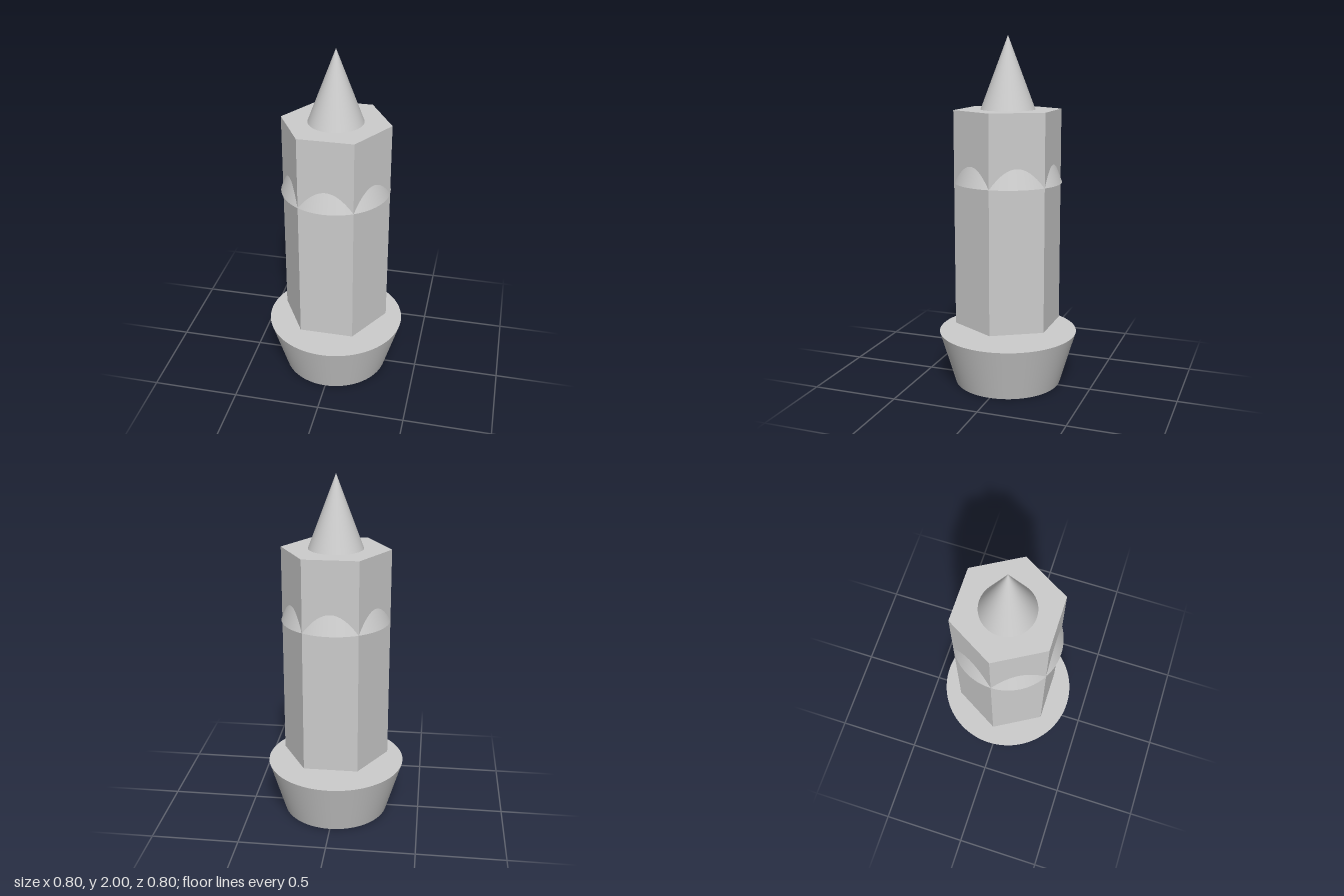
import * as THREE from 'three';

const R = 0.307; // shared radius of shaft, collar and base underside

export function createModel() {
  const model = new THREE.Group();
  const smooth = new THREE.MeshStandardMaterial({ color: 0xcccccc });
  const faceted = new THREE.MeshStandardMaterial({ color: 0xcccccc, flatShading: true });

  // Upright tapered part standing between two heights
  function addPart(name, rTop, rBottom, y0, y1, sides, material) {
    const geometry = new THREE.CylinderGeometry(rTop, rBottom, y1 - y0, sides, 1, false, Math.PI / 2);
    const mesh = new THREE.Mesh(geometry, material);
    mesh.name = name;
    mesh.position.y = (y0 + y1) / 2;
    model.add(mesh);
  }

  // Round end piece, flaring upward and separated from the shaft by a gap
  addPart('endCap', 0.399, R, 0, 0.307, 96, smooth);

  // Hexagonal shaft with corners on the x axis
  addPart('shaft', R, R, 0.365, 1.593, 6, faceted);

  // Tapered collar, showing as scallops through the flat sides of the shaft
  addPart('collar', R / 2, R, 1.185, 1.593, 96, smooth);

  // Pointed tip continuing the taper of the collar
  addPart('tip', 0, R / 2, 1.593, 2, 96, smooth);

  return model;
}
